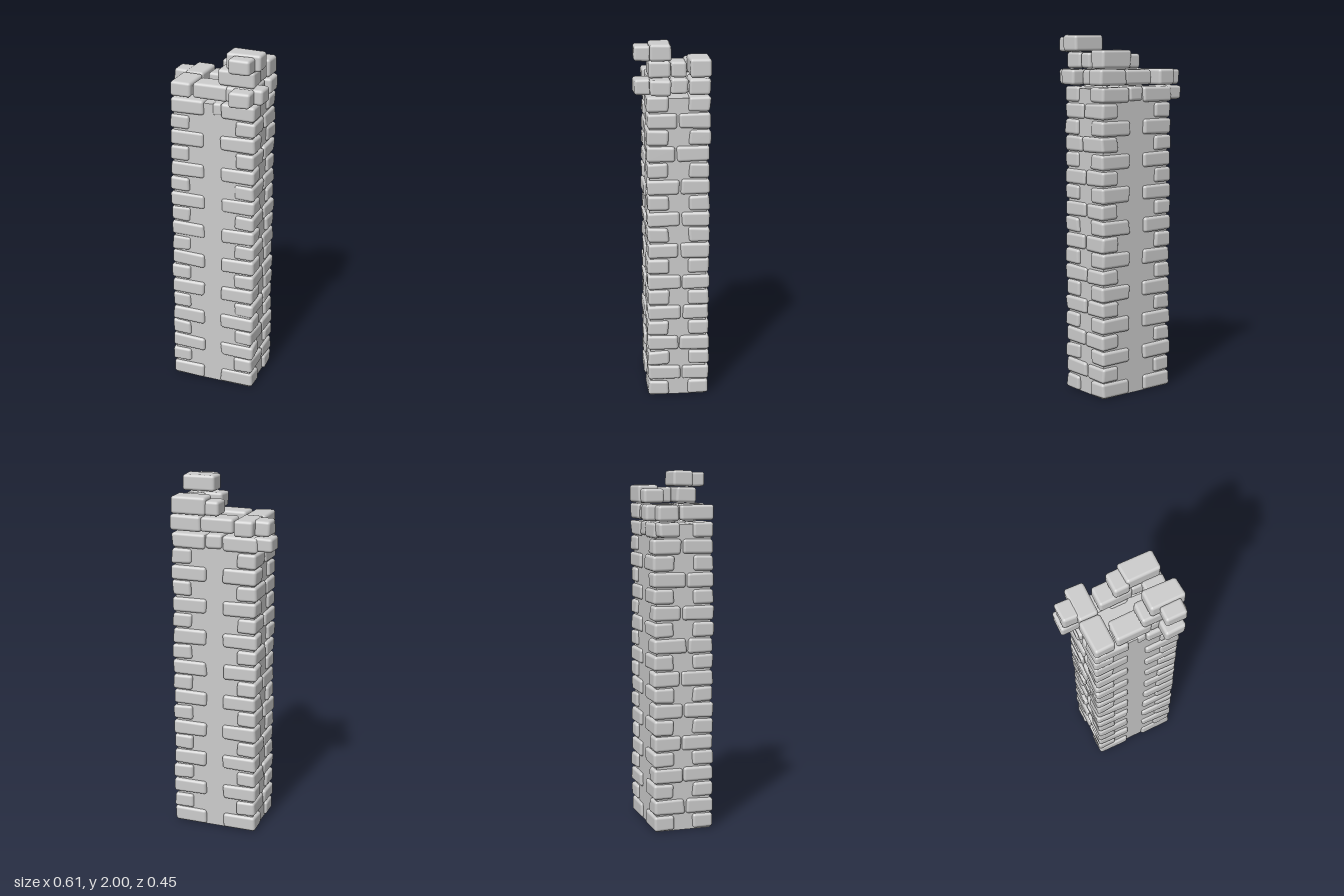
import * as THREE from 'three';
import { RoundedBoxGeometry } from 'three/addons/geometries/RoundedBoxGeometry.js';

// Small seeded generator for the irregular stone shapes
function seeded(seed) {
  return () => {
    seed = (seed * 16807) % 2147483647;
    return seed / 2147483647;
  };
}

export function createModel() {
  const random = seeded(4711);
  const material = new THREE.MeshStandardMaterial({ color: 0xcccccc });
  const tower = new THREE.Group();
  tower.name = 'stoneTower';

  // One worn stone: a rounded box whose eight corners are pulled slightly inward
  function addStone(parent, name, [x0, x1], [y0, y1], [z0, z1], wear = 0.011) {
    const w = x1 - x0, h = y1 - y0, d = z1 - z0;
    const geometry = new RoundedBoxGeometry(w, h, d, 3, 0.017);
    const pulls = Array.from({ length: 8 }, () =>
      new THREE.Vector3(random(), random() * 0.7, random()).multiplyScalar(wear));
    const pos = geometry.attributes.position;
    for (let i = 0; i < pos.count; i++) {
      const p = new THREE.Vector3().fromBufferAttribute(pos, i);
      const u = [p.x / w + 0.5, p.y / h + 0.5, p.z / d + 0.5];
      pulls.forEach((pull, c) => {
        const bits = [c & 1, (c >> 1) & 1, (c >> 2) & 1];
        const weight = bits.reduce((m, b, k) => m * (b ? u[k] : 1 - u[k]), 1);
        p.x -= (bits[0] ? 1 : -1) * pull.x * weight;
        p.y -= (bits[1] ? 1 : -1) * pull.y * weight;
        p.z -= (bits[2] ? 1 : -1) * pull.z * weight;
      });
      pos.setXYZ(i, p.x, p.y, p.z);
    }
    const stone = new THREE.Mesh(geometry, material);
    stone.name = name;
    stone.position.set((x0 + x1) / 2, (y0 + y1) / 2, (z0 + z1) / 2);
    parent.add(stone);
  }

  // Plain wall core behind the corner stones
  const core = new THREE.Mesh(new THREE.BoxGeometry(0.456, 1.71, 0.311), material);
  core.name = 'core';
  core.position.set(0.025, 0.855, -0.012);
  tower.add(core);

  // Corner stones: long along x in even courses, long along z in odd ones
  const pitch = 0.0908, courses = 19;
  const quoins = new THREE.Group();
  quoins.name = 'cornerStones';
  for (let i = 0; i < courses; i++) {
    const y = [i * pitch, (i + 1) * pitch - 0.001];
    const long = i % 2 === 0;
    const reach = long ? 0.205 : 0.122;
    for (const x of [[-0.225, -0.225 + reach], [0.275 - reach, 0.275]]) {
      const split = -0.015 + (random() - 0.5) * 0.05;
      addStone(quoins, 'frontCornerStone', x, y, [long ? 0.035 : split, 0.163]);
      addStone(quoins, 'backCornerStone', x, y, [-0.19, long ? -0.065 : split]);
    }
  }
  tower.add(quoins);

  // Broken crown: loose stones as [x range, y range, z range]
  const a = [1.64, 1.725], b = [1.727, 1.817], c = [1.817, 1.91], d = [1.908, 2.002];
  const crown = new THREE.Group();
  crown.name = 'brokenCrown';
  [
    // filling of the top full course
    [[-0.31, -0.19], a, [-0.18, -0.058]],
    [[-0.025, 0.08], a, [-0.185, -0.06]],
    [[0.02, 0.085], [1.645, 1.722], [0.06, 0.152]],
    // first ruined course
    [[-0.292, -0.19], b, [-0.18, -0.057]],
    [[-0.215, -0.095], b, [-0.228, -0.03]],
    [[-0.222, -0.097], b, [-0.035, 0.162]],
    [[-0.09, 0.11], b, [-0.182, -0.058]],
    [[-0.09, 0.11], b, [0.024, 0.15]],
    [[0.095, 0.28], b, [-0.188, -0.065]],
    [[0.09, 0.31], b, [0.024, 0.147]],
    [[0.137, 0.264], b, [0.13, 0.228]],
    [[0.15, 0.25], b, [-0.07, 0.03]],
    // second ruined course
    [[-0.002, 0.09], [1.817, 1.9], [-0.182, -0.058]],
    [[0.068, 0.272], [1.817, 1.922], [-0.193, -0.07]],
    [[0.05, 0.265], c, [0.024, 0.15]],
    [[0.137, 0.262], c, [-0.062, 0.03]],
    // topmost stones
    [[0.092, 0.293], d, [0.022, 0.148]],
    [[0.137, 0.264], [1.906, 1.995], [0.13, 0.226]],
  ].forEach(([x, y, z]) => addStone(crown, 'crownStone', x, y, z, 0.008));
  tower.add(crown);

  return tower;
}
